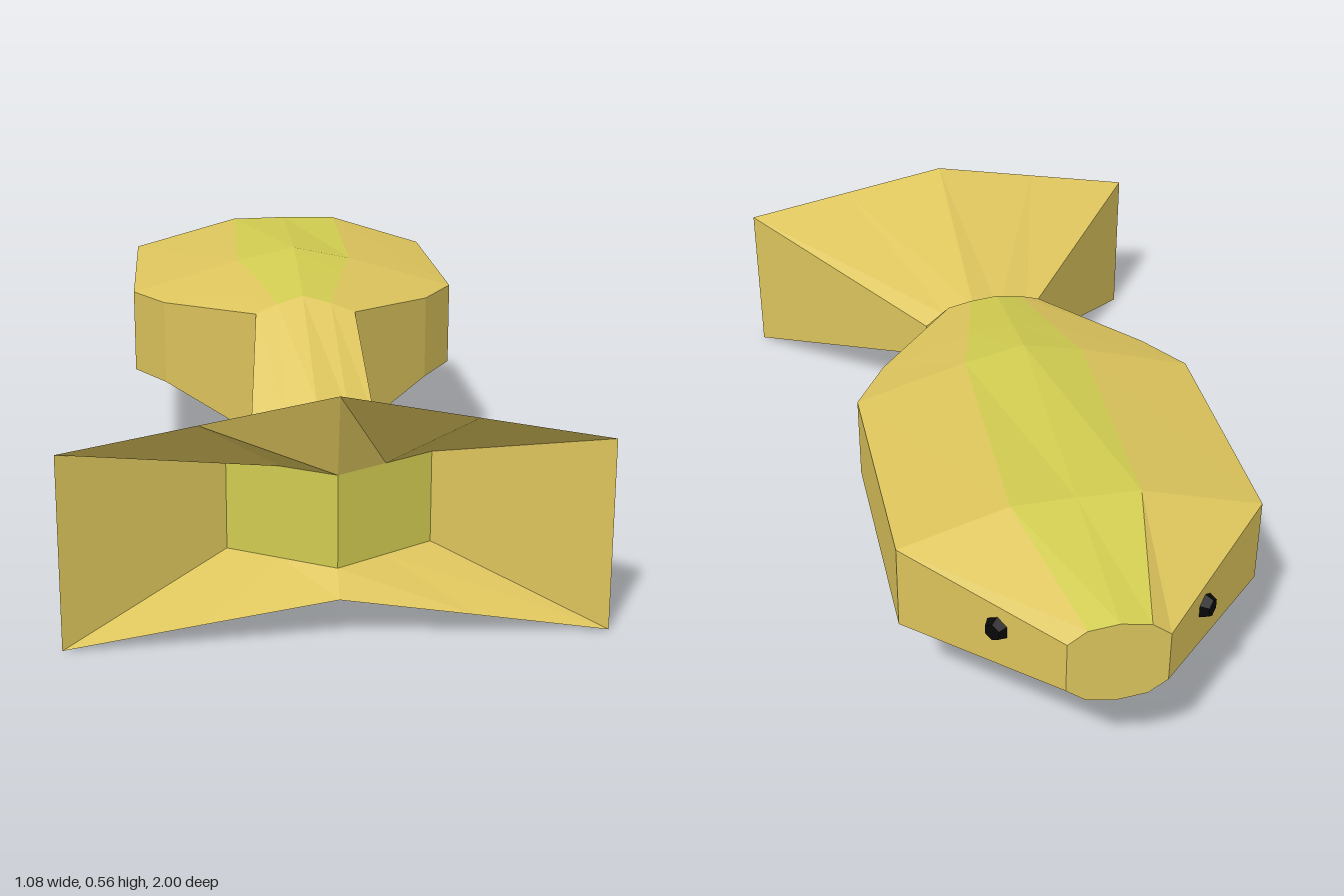
import * as THREE from 'three';

const yellow = new THREE.MeshStandardMaterial({ color: 0xdcc45c, flatShading: true });
const lime = new THREE.MeshStandardMaterial({ color: 0xd0cb50, flatShading: true });
const black = new THREE.MeshStandardMaterial({ color: 0x080808, flatShading: true });

// Ten-point cross-section, clockwise seen from +z, starting at the upper edge of the -x flank.
// Arguments: flank, shoulder and ridge positions, then heights (flank, shoulder, centre) above and below.
function section(xl, zl, sl, xc, zc, sr, xr, zr, top, bottom) {
  const mix = THREE.MathUtils.mapLinear;
  const cols = [
    [xl, zl], [sl, mix(sl, xl, xc, zl, zc)], [xc, zc], [sr, mix(sr, xc, xr, zc, zr)], [xr, zr],
  ];
  const side = (ys) => cols.map(([x, z], i) => [x, ys[2 - Math.abs(i - 2)], z]);
  return [...side(top), ...side(bottom).reverse()];
}

// Mesh of flat polygons, each fanned into triangles
function facets(name, polygons, material) {
  const pos = [];
  for (const p of polygons) {
    for (let i = 1; i < p.length - 1; i++) pos.push(...p[0], ...p[i], ...p[i + 1]);
  }
  const geo = new THREE.BufferGeometry();
  geo.setAttribute('position', new THREE.Float32BufferAttribute(pos, 3));
  geo.computeVertexNormals();
  const mesh = new THREE.Mesh(geo, material);
  mesh.name = name;
  return mesh;
}

// Quads joining consecutive sections, limited to the chosen columns
function skin(rings, columns = [0, 1, 2, 3, 4, 5, 6, 7, 8, 9]) {
  const quads = [];
  for (let i = 0; i < rings.length - 1; i++) {
    for (const j of columns) {
      const k = (j + 1) % 10;
      quads.push([rings[i][j], rings[i + 1][j], rings[i + 1][k], rings[i][k]]);
    }
  }
  return quads;
}

export function createModel() {
  const group = new THREE.Group();
  group.name = 'fish';

  const nose = section(-0.19, -1, -0.15, -0.085, -1, -0.02, 0.02, -1, [0.42, 0.45, 0.46], [0.3, 0.27, 0.26]);
  const body = [
    nose,
    section(-0.47, -0.67, -0.2, -0.06, -0.685, 0.08, 0.32, -0.7, [0.46, 0.535, 0.538], [0.26, 0.145, 0.145]),
    section(-0.45, -0.1, -0.19, -0.05, -0.12, 0.09, 0.345, -0.14, [0.46, 0.535, 0.565], [0.26, 0.145, 0.145]),
    section(-0.37, 0.02, -0.15, -0.045, 0.01, 0.06, 0.27, 0, [0.46, 0.525, 0.546], [0.26, 0.145, 0.145]),
    section(-0.15, 0.23, -0.1, -0.04, 0.2, 0.025, 0.08, 0.22, [0.48, 0.5, 0.515], [0.185, 0.155, 0.145]),
  ];
  const neck = section(-0.165, 0.465, -0.09, -0.02, 0.46, 0.05, 0.11, 0.455, [0.29, 0.313, 0.335], [0.2, 0.2, 0.2]);
  const rim = section(-0.54, 1, -0.27, 0, 0.975, 0.27, 0.54, 0.95, [0.4, 0.45, 0.5], [0, 0.043, 0.085]);
  const inner = section(-0.22, 0.79, -0.11, 0, 0.91, 0.1, 0.2, 0.77, [0.32, 0.32, 0.32], [0.125, 0.125, 0.125]);

  // Body: flanks, nose plate, and the greener stripes along back and belly
  group.add(facets('flanks', [...skin(body, [0, 3, 4, 5, 8, 9]), nose], yellow));
  group.add(facets('backStripe', skin(body, [1, 2]), lime));
  group.add(facets('bellyStripe', skin(body, [6, 7]), lime));

  // Narrow tail stalk and flared hollow tail
  group.add(facets('tailStalk', skin([body[4], neck]), yellow));
  group.add(facets('tailFin', skin([neck, rim]), yellow));
  group.add(facets('tailHollow', skin([rim, inner]), yellow));

  // Wedge-shaped floor of the hollow
  group.add(facets('tailHollowFloor', [
    [inner[0], inner[9], inner[7], inner[2]],
    [inner[2], inner[7], inner[5], inner[4]],
  ], lime));

  // Six-sided eyes seated on the cheeks
  for (const [name, x, dir] of [['rightEye', -0.29, [-0.76, 0, -0.64]], ['leftEye', 0.137, [0.71, 0, -0.7]]]) {
    const geo = new THREE.CylinderGeometry(0.02, 0.038, 0.04, 6);
    geo.rotateX(Math.PI / 2); // axis along +z, one corner upwards
    const eye = new THREE.Mesh(geo, black);
    eye.name = name;
    eye.position.set(x, 0.38, -0.88);
    eye.lookAt(eye.position.clone().add(new THREE.Vector3(...dir)));
    group.add(eye);
  }
  return group;
}
